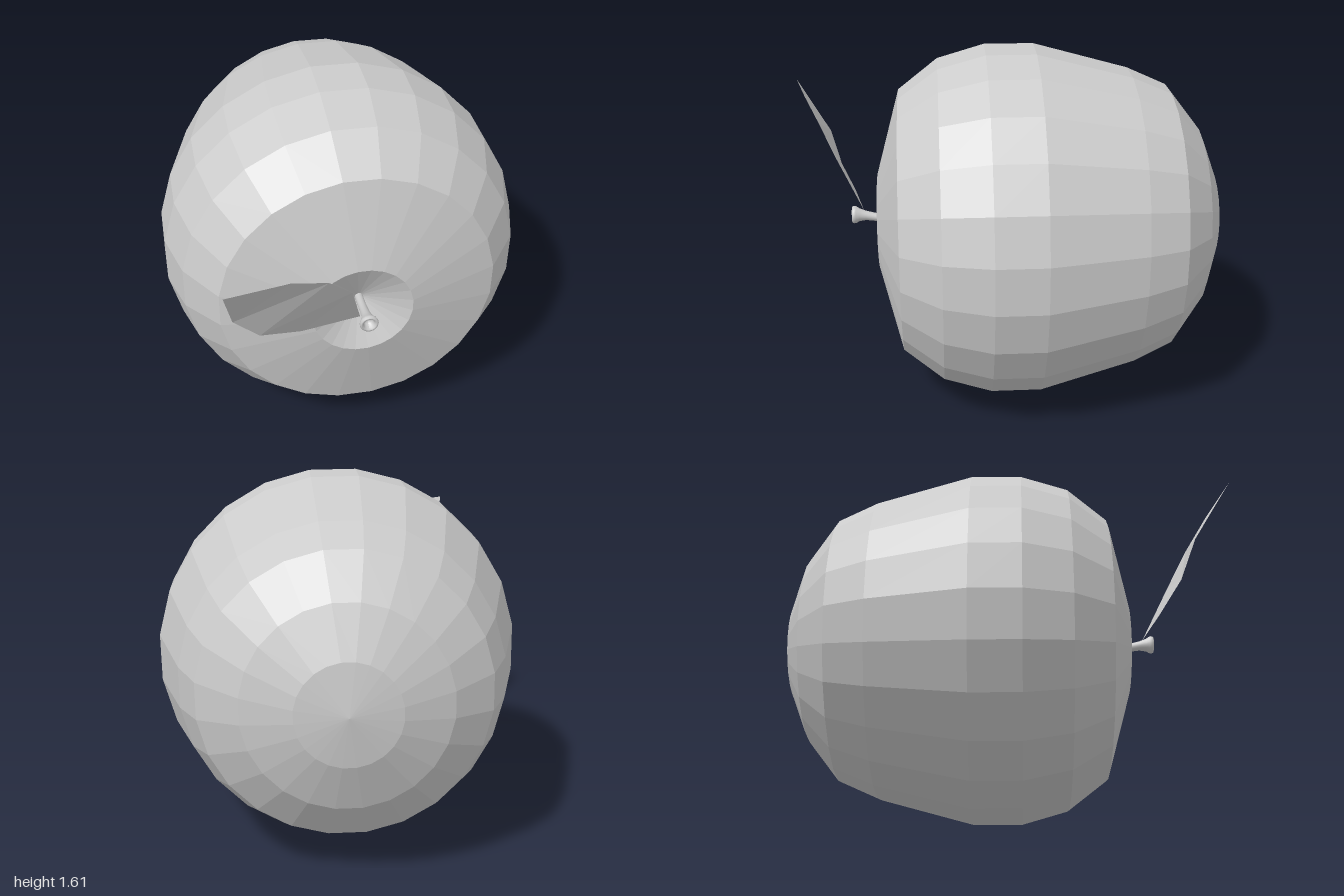
import * as THREE from 'three';

const CENTER_Y = 0.808;

function grey(options = {}) {
  return new THREE.MeshStandardMaterial({ color: 0xcccccc, ...options });
}

// Fruit: a 24-sided lathe lying on its side, profile as [radius, z] from back pole to stem dimple
function makeFruit() {
  const profile = [
    [0, -1], [0.22, -0.97], [0.435, -0.885], [0.615, -0.745], [0.695, -0.565],
    [0.811, -0.135], [0.811, 0.088], [0.75, 0.3], [0.612, 0.478], [0.222, 0.585], [0, 0.48],
  ].map(([r, z]) => new THREE.Vector2(r, z));
  const geometry = new THREE.LatheGeometry(profile, 24, THREE.MathUtils.degToRad(6.6));
  geometry.rotateX(Math.PI / 2);
  const fruit = new THREE.Mesh(geometry, grey({ flatShading: true }));
  fruit.position.y = CENTER_Y;
  fruit.name = 'fruitBody';
  return fruit;
}

// Stem: thin lathe flaring to a hollow cut end, bent slightly upward along its length
function makeStem() {
  const profile = [
    [0.018, 0.46], [0.018, 0.55], [0.019, 0.6], [0.022, 0.645], [0.03, 0.675],
    [0.039, 0.69], [0.041, 0.7], [0.037, 0.709], [0.029, 0.709], [0.024, 0.7], [0.018, 0.68], [0, 0.675],
  ].map(([r, z]) => new THREE.Vector2(r, z));
  const geometry = new THREE.LatheGeometry(profile, 16);
  geometry.rotateX(Math.PI / 2);
  const p = geometry.attributes.position;
  for (let i = 0; i < p.count; i++) {
    const t = THREE.MathUtils.smoothstep(p.getZ(i), 0.5, 0.7);
    p.setY(i, p.getY(i) + 0.81 + 0.028 * t);
  }
  geometry.computeVertexNormals();
  const stem = new THREE.Mesh(geometry, grey());
  stem.name = 'stem';
  return stem;
}

// Leaf: a folded strip between its upper and lower edges, running from the stem to the tip
function makeLeaf() {
  const base = [-0.03, 0.845, 0.655];
  const tip = [-0.62, 1.33, 1];
  const upper = [base, [-0.09, 1.09, 0.78], [-0.2, 1.225, 0.86], [-0.36, 1.31, 0.935], tip];
  const lower = [base, [-0.29, 0.855, 0.71], [-0.47, 0.93, 0.785], [-0.58, 1.07, 0.84], tip];
  const corners = [];
  for (let i = 0; i < upper.length - 1; i++) {
    if (i > 0) corners.push(upper[i], lower[i], lower[i + 1]);
    if (i === 0) corners.push(upper[0], lower[1], upper[1]);
    else if (i < upper.length - 2) corners.push(upper[i], lower[i + 1], upper[i + 1]);
  }
  const geometry = new THREE.BufferGeometry();
  geometry.setAttribute('position', new THREE.Float32BufferAttribute(corners.flat(), 3));
  geometry.computeVertexNormals();
  const leaf = new THREE.Mesh(geometry, grey({ flatShading: true, side: THREE.DoubleSide }));
  leaf.name = 'leaf';
  return leaf;
}

export function createModel() {
  const model = new THREE.Group();
  model.name = 'fruit';
  model.add(makeFruit(), makeStem(), makeLeaf());
  return model;
}
